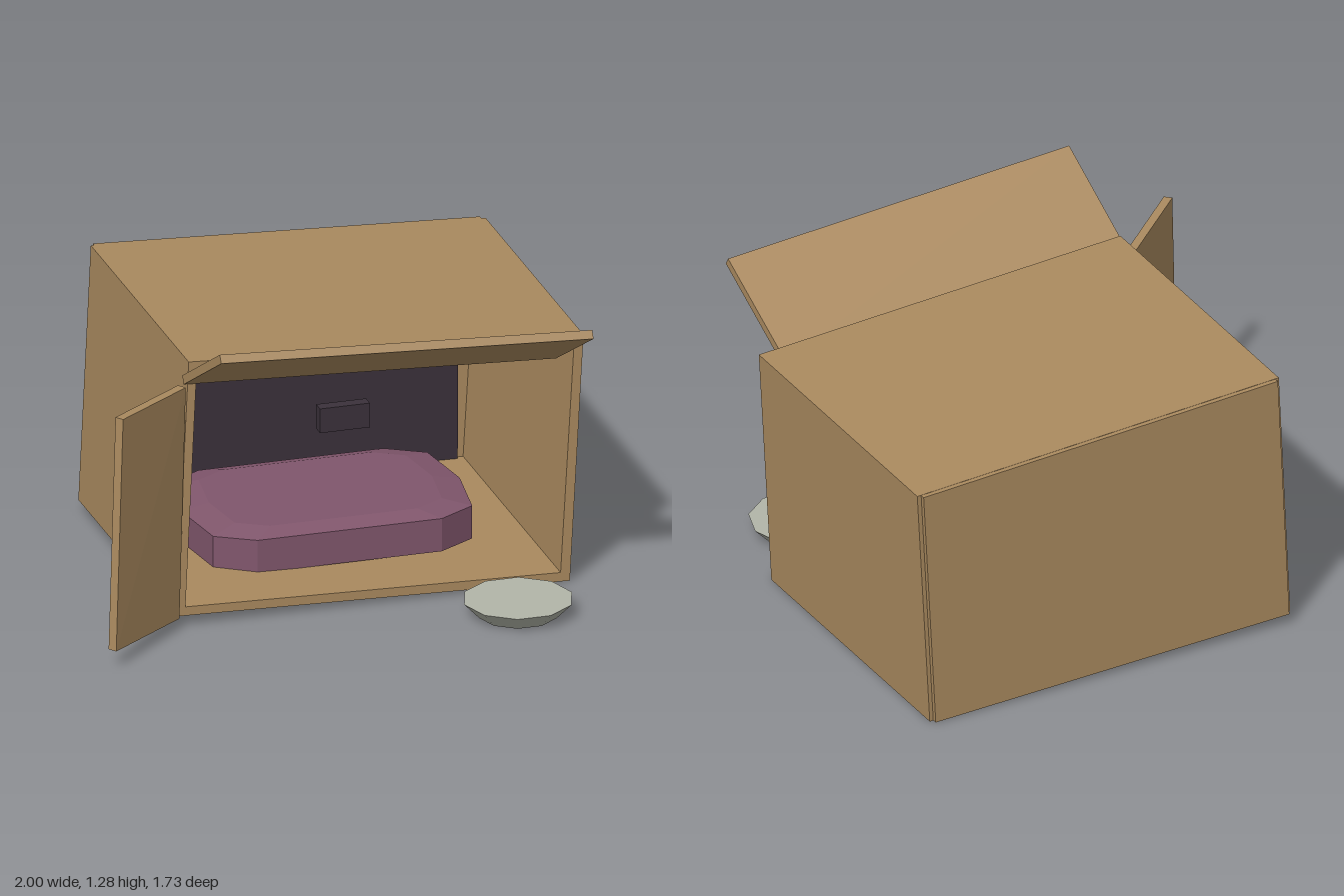
import * as THREE from 'three';

const material = (name, color, extra = {}) => {
  const m = new THREE.MeshStandardMaterial({ color, ...extra });
  m.name = name;
  return m;
};

export function createModel() {
  const group = new THREE.Group();
  const cardboard = material('cardboard', 0xaa8a5f);
  const dark = material('darkLining', 0x3b313b);
  const plum = material('plumFabric', 0x80566c);
  const pale = material('paleMetal', 0xb2b5a8);

  const add = (name, geometry, mat) => {
    const mesh = new THREE.Mesh(geometry, mat);
    mesh.name = name;
    group.add(mesh);
    return mesh;
  };

  // Slab between a front quad (bottom left, bottom right, top right, top left)
  // and the same quad moved back by an offset
  const slab = (bl, br, tr, tl, offset) => {
    const [a, b, c, d, o] = [bl, br, tr, tl, offset].map(p => new THREE.Vector3(...p));
    const g = new THREE.BoxGeometry(1, 1, 1).toNonIndexed();
    const pos = g.attributes.position;
    for (let i = 0; i < pos.count; i++) {
      const u = pos.getX(i) + 0.5, v = pos.getY(i) + 0.5, w = 0.5 - pos.getZ(i);
      const low = a.clone().lerp(b, u), high = d.clone().lerp(c, u);
      const p = low.lerp(high, v).addScaledVector(o, w);
      pos.setXYZ(i, p.x, p.y, p.z);
    }
    g.computeVertexNormals();
    return g;
  };

  const points = list => list.map(([x, y]) => new THREE.Vector2(x, y));

  // Leaning carton: floor, sides and roof as one hollow sleeve
  const sleeve = new THREE.Shape(points([[-0.635, 0.045], [0.945, 0], [1, 1.01], [-0.585, 1.09]]));
  sleeve.holes.push(new THREE.Path(points([[-0.598, 0.08], [-0.553, 1.052], [0.962, 0.975], [0.908, 0.038]])));
  const walls = new THREE.ExtrudeGeometry(sleeve, { depth: 1.245, bevelEnabled: false });
  walls.translate(0, 0, -0.845);
  add('boxWalls', walls, cardboard);

  // Back sheet, slightly narrower than the sleeve
  add('backPanel', slab([-0.62, 0.045, -0.84], [0.93, 0.002, -0.84], [0.983, 1.01, -0.84],
    [-0.57, 1.088, -0.84], [0, 0, -0.025]), cardboard);
  add('backLining', slab([-0.575, 0.075, -0.82], [0.88, 0.04, -0.82], [0.885, 0.96, -0.82],
    [-0.552, 1.035, -0.82], [0, 0, -0.015]), dark);

  // Open flaps
  add('sideFlap', slab([-0.98, 0.07, 0.73], [-0.63, 0.045, 0.425], [-0.6, 0.99, 0.41],
    [-0.943, 1.012, 0.7], [-0.022, 0.002, -0.027]), cardboard);
  add('topFlap', slab([-0.605, 1.0, 0.4], [0.89, 0.925, 0.4], [0.905, 1.17, 0.83],
    [-0.59, 1.25, 0.83], [0, 0.03, -0.018]), cardboard);

  // Small tag in the opening
  const tag = add('hangingTag', new THREE.BoxGeometry(0.2, 0.1, 0.05), dark);
  tag.position.set(0.025, 0.805, 0.43);

  // Cushion: ten-sided outline with a soft chamfered top
  const outline = [[0.56, 0], [0.52, 0.285], [0.37, 0.375], [-0.37, 0.375], [-0.52, 0.285],
    [-0.56, 0], [-0.52, -0.285], [-0.37, -0.375], [0.37, -0.375], [0.52, -0.285]];
  const rings = [[0, 0.065], [1, 0.065], [1, 0.2], [0.8, 0.222], [0, 0.222]];
  const verts = [];
  const at = (ring, i) => {
    const [s, y] = rings[ring], [x, z] = outline[i % outline.length];
    return [0.15 + x * s, y, -0.255 + z * s];
  };
  for (let r = 0; r < rings.length - 1; r++) {
    for (let i = 0; i < outline.length; i++) {
      const a = at(r, i), b = at(r, i + 1), c = at(r + 1, i + 1), d = at(r + 1, i);
      verts.push(...a, ...c, ...b, ...a, ...d, ...c);
    }
  }
  const cushion = new THREE.BufferGeometry();
  cushion.setAttribute('position', new THREE.Float32BufferAttribute(verts, 3));
  cushion.computeVertexNormals();
  add('cushion', cushion, plum);

  // Shallow ten-sided dish
  const dish = new THREE.CylinderGeometry(0.216, 0.155, 0.063, 10, 1, false, Math.PI / 2).toNonIndexed();
  dish.computeVertexNormals();
  add('dish', dish, pale).position.set(0.655, 0.0315, 0.66);

  return group;
}
